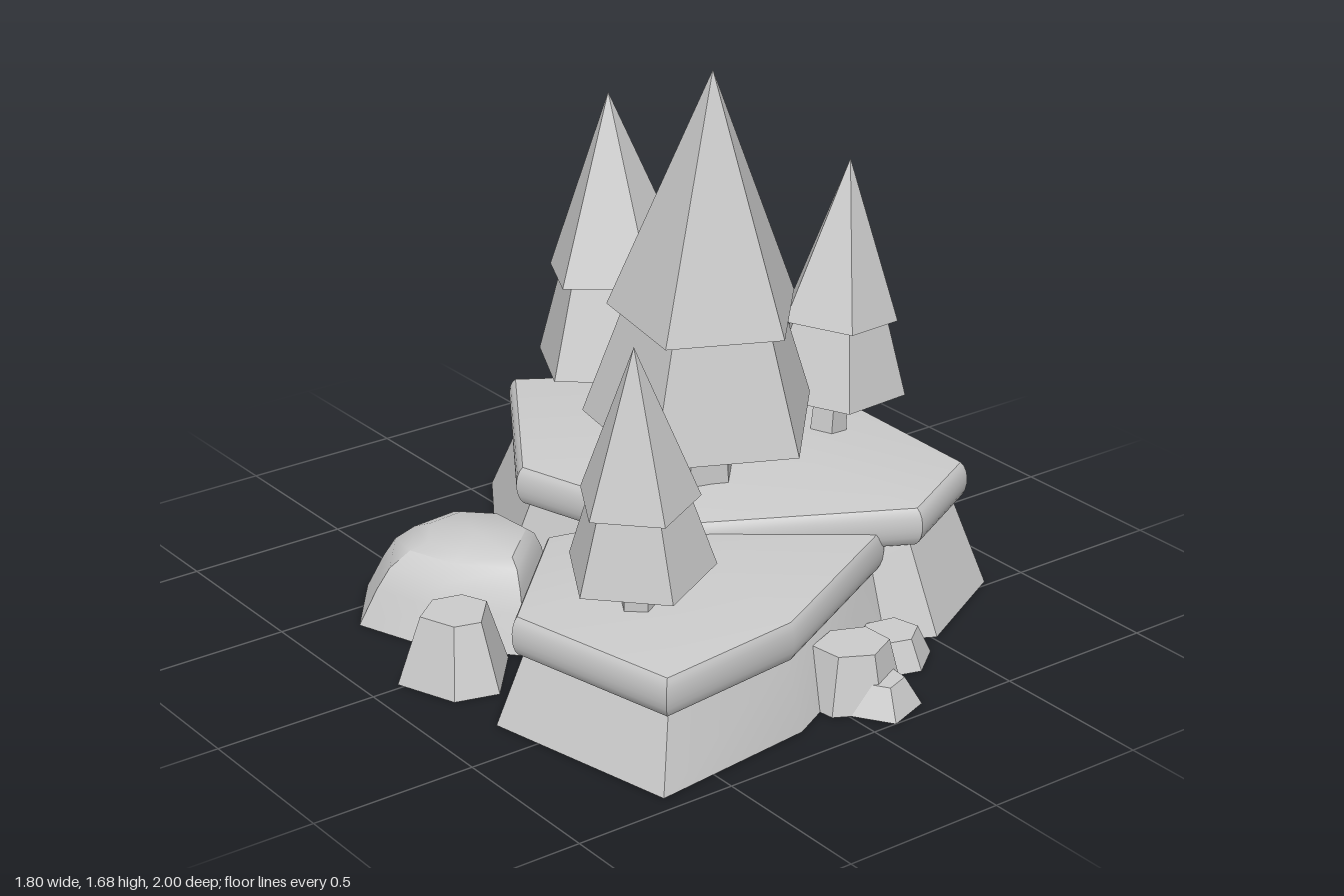
import * as THREE from 'three';
import { toCreasedNormals } from 'three/addons/utils/BufferGeometryUtils.js';

const grey = new THREE.MeshStandardMaterial({ color: 0xcccccc });
const flatGrey = new THREE.MeshStandardMaterial({ color: 0xcccccc, flatShading: true });

// Stacks scaled copies of an [x, z] outline; each ring is [scale, y, shiftX, shiftZ].
function loft(name, outline, [cx, cz], rings, crease = 0.5) {
  const pos = [];
  const point = (i, [s, y, dx = 0, dz = 0]) => {
    const [x, z] = outline[i % outline.length];
    return [cx + dx + (x - cx) * s, y, cz + dz + (z - cz) * s];
  };
  for (let r = 0; r < rings.length - 1; r++) {
    const low = rings[r], high = rings[r + 1];
    for (let i = 0; i < outline.length; i++) {
      const a = point(i, low), b = point(i + 1, low), c = point(i + 1, high), d = point(i, high);
      if (low[0] > 0) pos.push(...a, ...b, ...(high[0] > 0 ? c : d));
      if (high[0] > 0) pos.push(...a, ...c, ...d);
    }
  }
  const geo = new THREE.BufferGeometry();
  geo.setAttribute('position', new THREE.Float32BufferAttribute(pos, 3));
  const mesh = new THREE.Mesh(toCreasedNormals(geo, crease), grey);
  mesh.name = name;
  return mesh;
}

// Sloped cliff, rounded overhanging lip and a shallow peaked top
function plateau(name, outline, center, lipY, peakY) {
  const rings = [[0, 0], [1, 0], [0.86, lipY]];
  for (let k = 0; k <= 8; k++) {
    const t = -Math.PI / 2 + (k / 8) * 2.75;
    rings.push([0.872 + 0.045 * Math.cos(t), lipY + 0.062 + 0.062 * Math.sin(t)]);
  }
  rings.push([0, peakY]);
  return loft(name, outline, center, rings);
}

// Irregular outline for a small boulder, ordered counter-clockwise from above
function rockOutline(cx, cz, rx, rz, sides, turn) {
  return Array.from({ length: sides }, (_, i) => {
    const a = turn - (i / sides) * Math.PI * 2;
    const w = 1 + 0.07 * Math.sin(i * 2.4 + turn);
    return [cx + rx * w * Math.cos(a), cz + rz * w * Math.sin(a)];
  });
}

// Five-sided two-tier conifer leaning from its lower skirt to its tip
function tree({ base, tip, radius, upper, ground, turn }) {
  const group = new THREE.Group();
  group.name = 'tree';
  const from = new THREE.Vector3(...base);
  const axis = new THREE.Vector3(...tip).sub(from);
  const height = axis.length();
  const mid = upper - base[1];
  const start = Math.PI / 2 - THREE.MathUtils.degToRad(turn);
  const add = (name, rTop, rBottom, y0, y1) => {
    const geo = new THREE.CylinderGeometry(rTop, rBottom, y1 - y0, 5, 1, false, start);
    const mesh = new THREE.Mesh(geo, flatGrey);
    mesh.position.y = (y0 + y1) / 2;
    mesh.name = name;
    group.add(mesh);
  };
  add('trunk', radius * 0.23, radius * 0.28, ground - base[1], 0.03);
  add('lowerFoliage', radius * 0.66, radius, 0, mid + 0.01);
  add('upperFoliage', 0, radius * 0.81, mid, height);
  group.position.copy(from);
  group.quaternion.setFromUnitVectors(new THREE.Vector3(0, 1, 0), axis.normalize());
  return group;
}

export function createModel() {
  const model = new THREE.Group();
  model.name = 'forestCliffs';

  // Two overlapping plateaus
  model.add(plateau('highPlateau',
    [[0.515, 0.67], [0.87, 0.48], [0.9, -0.49], [0.08, -1], [-0.33, -0.36], [-0.13, 0.33]],
    [0.33, -0.06], 0.27, 0.455));
  model.add(plateau('lowPlateau',
    [[-0.685, 0.945], [-0.16, 0.88], [0.47, 0.55], [0.25, 0.09], [-0.41, -0.06], [-0.815, 0.345]],
    [-0.2, 0.43], 0.2, 0.38));

  // Domed boulder in the rear corner
  model.add(loft('largeBoulder',
    [[-0.51, 0.06], [-0.225, -0.21], [-0.245, -0.485], [-0.4, -0.635], [-0.635, -0.61], [-0.795, -0.4], [-0.71, -0.165]],
    [-0.5, -0.33],
    [[0, 0], [1, 0], [0.86, 0.11, 0.01, 0.01], [0.77, 0.175, 0.02, 0.02],
      [0.63, 0.225, 0.035, 0.035], [0.5, 0.245, 0.045, 0.045], [0, 0.25, 0.045, 0.045]], 0.65));

  // Small side boulder
  model.add(loft('sideBoulder',
    [[-0.835, 0.165], [-0.705, 0.2], [-0.56, 0.03], [-0.615, -0.1], [-0.76, -0.135], [-0.905, -0.02]],
    [-0.73, 0.02], [[0, 0], [1, 0], [0.6, 0.2], [0, 0.2]]));

  // Boulders at the foot of the front cliff: x, z, radii, sides, turn, height, top scale
  const frontRocks = [
    [0.08, 0.8, 0.15, 0.135, 6, 0.5, 0.17, 0.72],
    [0.12, 0.89, 0.125, 0.11, 5, 1.9, 0.085, 0.55],
    [0.31, 0.69, 0.135, 0.12, 6, 0.3, 0.09, 0.68],
  ];
  for (const [x, z, rx, rz, sides, turn, h, top] of frontRocks) {
    model.add(loft('frontBoulder', rockOutline(x, z, rx, rz, sides, turn), [x, z],
      [[0, 0], [1, 0], [top, h], [0, h]]));
  }

  // Trees
  const trees = [
    { base: [0.106, 0.6, 0.086], tip: [0.07, 1.685, 0.16], radius: 0.36, upper: 0.95, ground: 0.36, turn: 151 },
    { base: [0.235, 0.56, -0.51], tip: [0.235, 1.4, -0.565], radius: 0.28, upper: 0.84, ground: 0.34, turn: 171 },
    { base: [0.625, 0.545, 0.03], tip: [0.68, 1.265, 0.035], radius: 0.226, upper: 0.777, ground: 0.34, turn: 187 },
    { base: [-0.467, 0.452, 0.537], tip: [-0.505, 1.13, 0.57], radius: 0.218, upper: 0.67, ground: 0.27, turn: 173 },
  ];
  trees.forEach((t) => model.add(tree(t)));

  return model;
}
